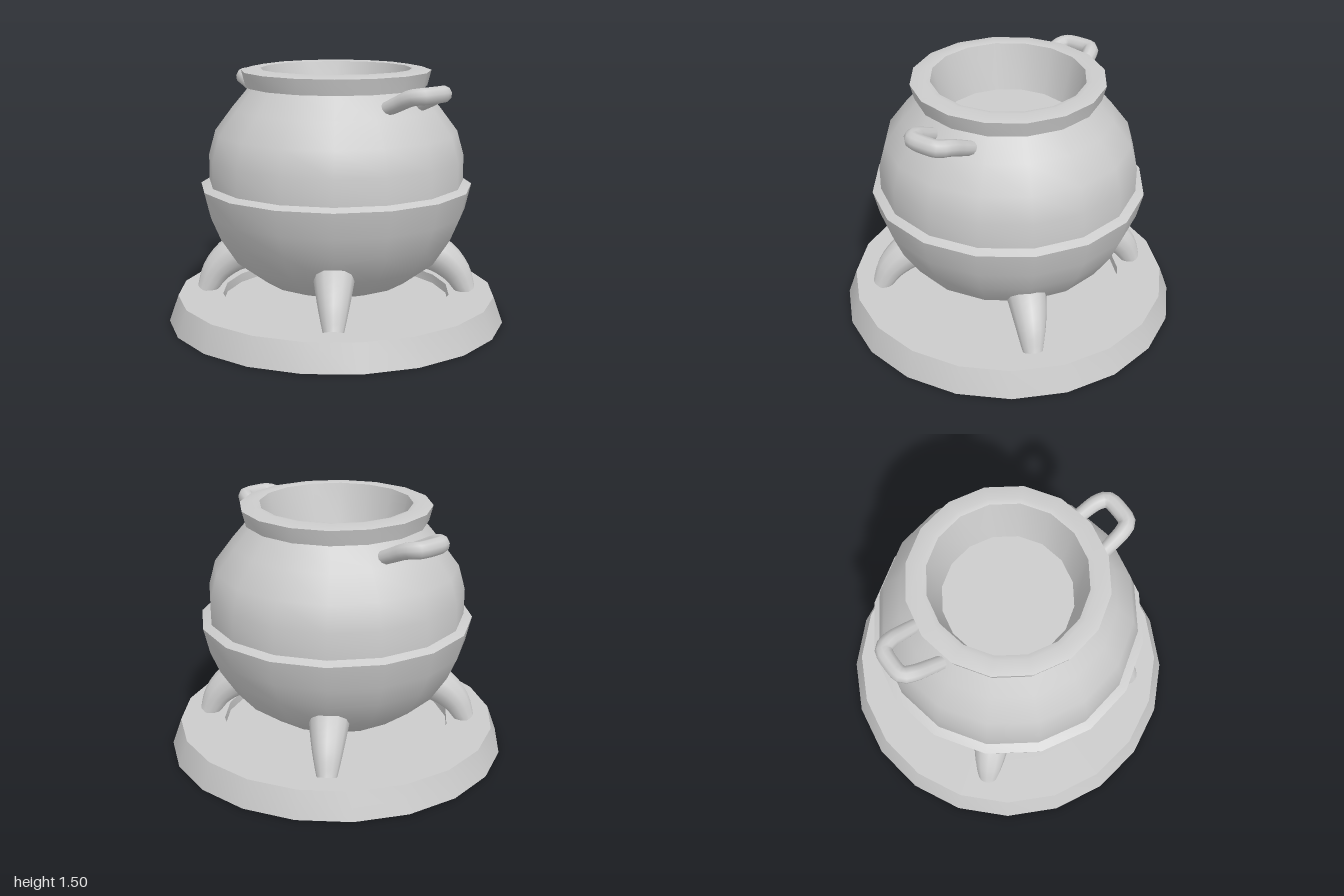
import * as THREE from 'three';
import { toCreasedNormals } from 'three/addons/utils/BufferGeometryUtils.js';

const material = new THREE.MeshStandardMaterial({ color: 0xcccccc });

function part(name, geometry) {
  const mesh = new THREE.Mesh(geometry, material);
  mesh.name = name;
  return mesh;
}

// Turned part from [radius, height] pairs; hard edges stay sharp
function turned(name, profile, sides) {
  const points = profile.map(([r, y]) => new THREE.Vector2(r, y));
  return part(name, toCreasedNormals(new THREE.LatheGeometry(points, sides), 0.62));
}

// Tube along a curve whose radius follows a rule of t (0..1)
function taperedTube(curve, steps, sides, radiusAt) {
  const geometry = new THREE.TubeGeometry(curve, steps, 1, sides);
  const pos = geometry.attributes.position;
  const v = new THREE.Vector3();
  for (let i = 0; i < pos.count; i++) {
    const t = Math.floor(i / (sides + 1)) / steps;
    const centre = curve.getPointAt(t);
    v.fromBufferAttribute(pos, i).sub(centre).multiplyScalar(radiusAt(t)).add(centre);
    pos.setXYZ(i, v.x, v.y, v.z);
  }
  return geometry;
}

const curveThrough = (points) =>
  new THREE.CatmullRomCurve3(points.map((p) => new THREE.Vector3(...p)));

export function createModel() {
  const model = new THREE.Group();
  model.name = 'cauldron';

  // Round plinth with a shallow recess
  model.add(turned('base', [
    [0, 0], [1, 0], [0.945, 0.155], [0.68, 0.155], [0.68, 0.1], [0, 0.1],
  ], 20));

  // Lower bowl with the ledge around its widest point
  model.add(turned('lowerBowl', [
    [0, 0.145], [0.14, 0.157], [0.28, 0.188], [0.43, 0.24], [0.61, 0.375],
    [0.71, 0.53], [0.765, 0.66], [0.8, 0.81], [0.75, 0.83],
  ], 16));

  // Shoulder, flared rim and inner well
  model.add(turned('upperBody', [
    [0.75, 0.82], [0.75, 0.98], [0.71, 1.125], [0.605, 1.265], [0.5, 1.39],
    [0.53, 1.39], [0.553, 1.48], [0.47, 1.497], [0.44, 1.49], [0.37, 1.22], [0, 1.22],
  ], 16));

  // Four curved, tapering legs on the diagonals
  const legCurve = curveThrough([
    [0.48, 0.42, 0], [0.61, 0.375, 0], [0.72, 0.275, 0], [0.785, 0.15, 0],
  ]);
  const legGeometry = taperedTube(legCurve, 10, 12,
    (t) => 0.122 - 0.065 * Math.pow(t, 1.5));
  for (let i = 0; i < 4; i++) {
    const leg = part('leg', legGeometry);
    leg.rotation.y = Math.PI / 4 + (i * Math.PI) / 2;
    model.add(leg);
  }

  // Looped handles on both sides
  const half = [[0.48, 1.29, 0.13], [0.6, 1.345, 0.122], [0.69, 1.385, 0.112], [0.745, 1.395, 0.085]];
  const mirrored = half.map(([x, y, z]) => [x, y, -z]).reverse();
  const handleCurve = curveThrough([...half, [0.757, 1.396, 0], ...mirrored]);
  const handleGeometry = taperedTube(handleCurve, 28, 10,
    (t) => 0.038 + 0.01 * Math.sin(Math.PI * t));
  [['leftHandle', 0], ['rightHandle', Math.PI]].forEach(([name, angle]) => {
    const handle = part(name, handleGeometry);
    handle.rotation.y = angle;
    model.add(handle);
  });

  return model;
}
